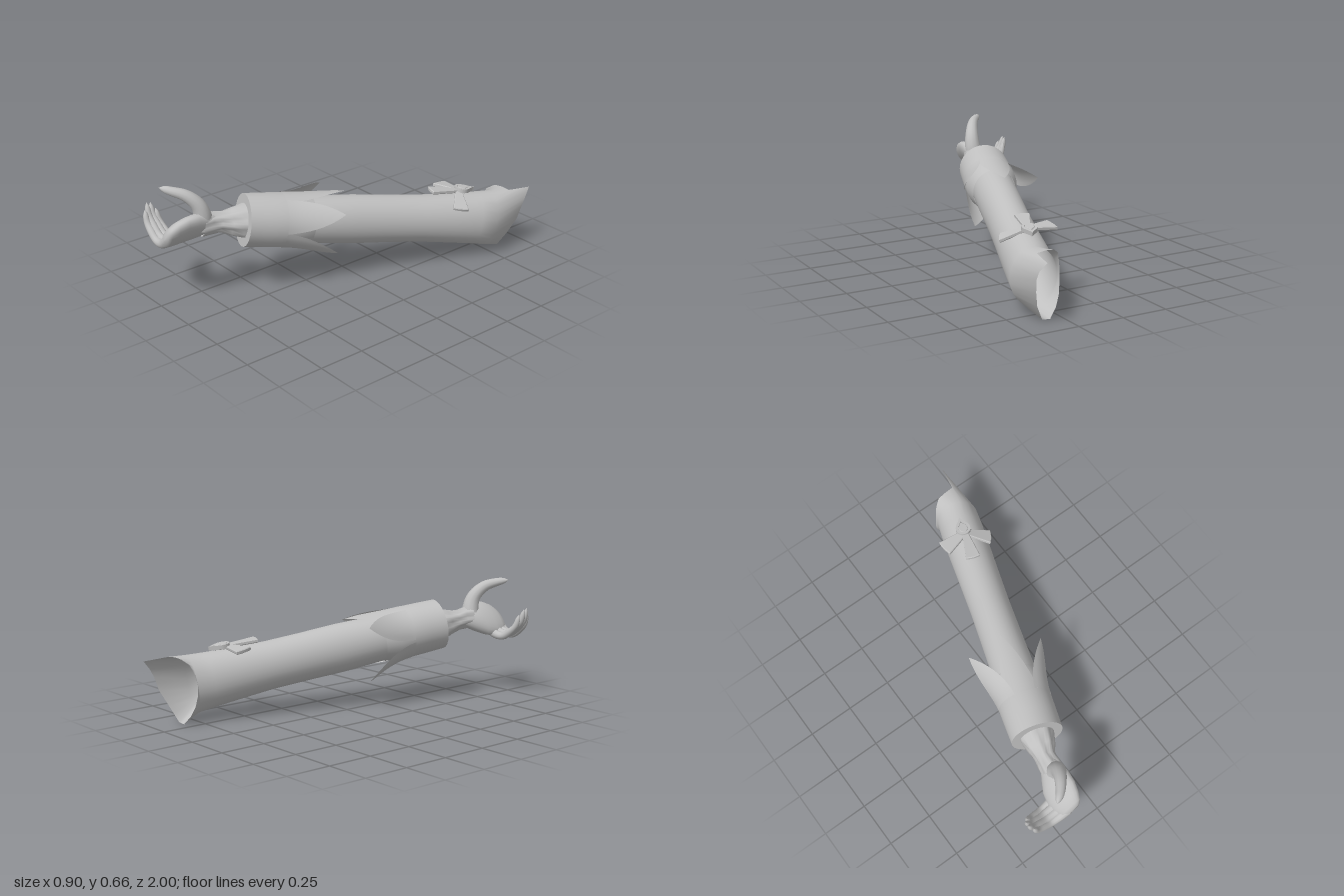
import * as THREE from 'three';

const V3 = (x, y, z) => new THREE.Vector3(x, y, z);
const SIDES = 32;

// Forearm frame: F points to the hand, U to the model's left, V up
const origin = V3(-0.1, 0.415, 0.575);
const F = V3(-0.318, 0.155, 0.935).normalize();
const U = V3(F.z, 0, -F.x).normalize();
const V = F.clone().cross(U);

// Point at distance w back from the cuff front, at angle a round the arm
function armPoint(w, a, rx, ry = rx) {
  return origin.clone().addScaledVector(F, -w)
    .addScaledVector(U, Math.cos(a) * rx).addScaledVector(V, Math.sin(a) * ry);
}

function armRing(w, rx, ry = rx) {
  return Array.from({ length: SIDES + 1 }, (_, j) => armPoint(w, (j / SIDES) * Math.PI * 2, rx, ry));
}

// Skin a surface over rows of points; closed rows share a smooth seam
function loft(rows, closed = true) {
  const pos = [], index = [];
  const n = closed ? rows[0].length - 1 : rows[0].length;
  rows.forEach(r => r.slice(0, n).forEach(p => pos.push(p.x, p.y, p.z)));
  const across = closed ? n : n - 1;
  for (let i = 0; i < rows.length - 1; i++) {
    for (let j = 0; j < across; j++) {
      const k = (j + 1) % n;
      const a = i * n + j, b = i * n + k, c = a + n, d = b + n;
      index.push(a, c, b, b, c, d);
    }
  }
  const g = new THREE.BufferGeometry();
  g.setAttribute('position', new THREE.Float32BufferAttribute(pos, 3));
  g.setIndex(index);
  g.computeVertexNormals();
  return g;
}

// Round limb along a curve with interpolated radii
function limb(points, radii, sides = 12, steps = 20) {
  const curve = new THREE.CatmullRomCurve3(points.map(p => V3(...p)));
  const fr = curve.computeFrenetFrames(steps);
  const rows = [];
  for (let i = 0; i <= steps; i++) {
    const t = i / steps, c = curve.getPointAt(t);
    const f = t * (radii.length - 1), k = Math.min(Math.floor(f), radii.length - 2);
    let r = THREE.MathUtils.lerp(radii[k], radii[k + 1], f - k);
    if (i === steps) r = 0.0005;
    else if (i === steps - 1) r *= 0.75;
    rows.push(Array.from({ length: sides + 1 }, (_, j) => {
      const a = (j / sides) * Math.PI * 2;
      return c.clone().addScaledVector(fr.normals[i], Math.cos(a) * r).addScaledVector(fr.binormals[i], Math.sin(a) * r);
    }));
  }
  return loft(rows.reverse());
}

export function createModel() {
  const group = new THREE.Group();
  const grey = new THREE.MeshStandardMaterial({ color: 0xc0c0c0, side: THREE.DoubleSide });
  grey.name = 'grey';
  const add = (name, geometry, parent = group) => {
    const m = new THREE.Mesh(geometry, grey);
    m.name = name;
    parent.add(m);
    return m;
  };

  // Sleeve, flaring to an uneven open rim with one pointed corner
  const rim = [
    [0.44, 0.24, -0.93], [0.44, 0.285, -0.955], [0.425, 0.335, -1], [0.4, 0.345, -0.865],
    [0.345, 0.35, -0.86], [0.3, 0.345, -0.855], [0.265, 0.32, -0.83], [0.245, 0.27, -0.81],
    [0.235, 0.215, -0.8], [0.235, 0.16, -0.8], [0.245, 0.1, -0.81], [0.27, 0.045, -0.825],
    [0.31, 0, -0.84], [0.355, 0.003, -0.84], [0.4, 0.085, -0.87], [0.43, 0.17, -0.91],
  ].map(p => V3(...p));
  const rimRow = Array.from({ length: SIDES + 1 }, (_, j) => {
    const k = Math.floor(j / 2);
    return rim[k % 16].clone().lerp(rim[(k + 1) % 16], (j % 2) / 2);
  });
  const sleeve = [
    [0.2, 0.115, 0.12], [0.4, 0.115, 0.127], [0.6, 0.112, 0.133], [0.8, 0.11, 0.13],
    [1.0, 0.113, 0.13], [1.2, 0.117, 0.14], [1.33, 0.118, 0.148], [1.42, 0.115, 0.156],
  ].map(s => armRing(...s));
  add('sleeve', loft([...sleeve, rimRow]));

  // Cuff with a flat front band
  add('cuff', loft([armRing(0, 0.138), armRing(0.1, 0.141), armRing(0.2, 0.143), armRing(0.28, 0.14), armRing(0.36, 0.118, 0.128)]));
  add('cuffFront', loft([armRing(0, 0.09), armRing(0, 0.138)]));

  // Pointed leaves flaring off the back of the cuff: angle, tip distance, tip radius
  [[29, 0.486, 0.21], [97, 0.549, 0.155], [150, 0.485, 0.245], [232, 0.499, 0.235], [313, 0.5, 0.19]].forEach(([deg, tipW, tipR]) => {
    const rows = [];
    for (let i = 0; i <= 10; i++) {
      const t = i / 10, row = [];
      for (let j = 0; j <= 8; j++) {
        const s = j / 4 - 1;
        const a = THREE.MathUtils.degToRad(deg + s * 38 * (1 - Math.pow(t, 1.5)));
        const w = THREE.MathUtils.lerp(0.2, tipW, t);
        row.push(armPoint(w, a, THREE.MathUtils.lerp(0.144, tipR, Math.pow(t, 1.7))));
      }
      rows.push(row);
    }
    add('cuffLeaf', loft(rows, false));
  });

  // Gathered wrist fabric with twisted folds: centre, radius, fold depth
  const wristRows = [
    [-0.08, 0.405, 0.53, 0.095, 0.003], [-0.105, 0.413, 0.585, 0.086, 0.006], [-0.12, 0.42, 0.64, 0.066, 0.008],
    [-0.137, 0.428, 0.69, 0.05, 0.007], [-0.145, 0.435, 0.74, 0.055, 0.007], [-0.152, 0.435, 0.79, 0.06, 0.004],
  ].map(([x, y, z, r, d], i) => Array.from({ length: SIDES + 1 }, (_, j) => {
    const a = (j / SIDES) * Math.PI * 2, q = r + d * Math.sin(7 * a + i * 0.9);
    return V3(x, y, z).addScaledVector(U, Math.cos(a) * q).addScaledVector(V, Math.sin(a) * q);
  }));
  add('wrist', loft(wristRows.reverse()));

  // Palm: slanted oval sections from wrist to knuckles: centre, half width, half thickness
  const hand = new THREE.Group();
  hand.name = 'hand';
  group.add(hand);
  const slant = THREE.MathUtils.degToRad(50);
  const palmRows = [
    [-0.145, 0.435, 0.71, 0.04, 0.035], [-0.16, 0.432, 0.77, 0.075, 0.048], [-0.175, 0.428, 0.83, 0.105, 0.05],
    [-0.185, 0.42, 0.89, 0.112, 0.046], [-0.19, 0.41, 0.94, 0.1, 0.042], [-0.19, 0.4, 0.975, 0.08, 0.034],
    [-0.19, 0.395, 0.99, 0.055, 0.02], [-0.19, 0.395, 0.993, 0.001, 0.001],
  ].map(([x, y, z, h, t]) => Array.from({ length: 25 }, (_, j) => {
    const a = (j / 24) * Math.PI * 2, p = Math.cos(a) * h, q = Math.sin(a) * t;
    return V3(x + p * Math.cos(slant) - q * Math.sin(slant), y + p * Math.sin(slant) + q * Math.cos(slant), z);
  }));
  add('palm', loft(palmRows.reverse()), hand);

  // Thumb arching up and over
  add('thumb', limb([
    [-0.155, 0.42, 0.78], [-0.145, 0.49, 0.79], [-0.15, 0.55, 0.81], [-0.18, 0.605, 0.86],
    [-0.225, 0.63, 0.915], [-0.275, 0.643, 0.955],
  ], [0.05, 0.046, 0.038, 0.031, 0.024, 0.015]), hand);

  // Four curled fingers side by side: depth at root and tip, reach, tip lift
  [[0.875, 0.9, 0.92, -0.035], [0.908, 0.918, 1, -0.005], [0.94, 0.94, 1, 0], [0.968, 0.962, 0.93, -0.03]].forEach(([z0, z1, k, lift]) => {
    const bend = [[-0.2, 0.385], [-0.255, 0.352], [-0.315, 0.352], [-0.37, 0.39], [-0.41, 0.435], [-0.43, 0.505]];
    add('finger', limb(bend.map(([x, y], i) => [
      -0.2 + (x + 0.2) * k, y + lift * i / 5, THREE.MathUtils.lerp(z0, z1, i / 5),
    ]), [0.028, 0.025, 0.021, 0.02, 0.017, 0.011]), hand);
  });

  // Ribbon bow on top of the sleeve
  const bow = new THREE.Group();
  bow.name = 'bow';
  group.add(bow);
  const knot = V3(0.285, 0.377, -0.585);
  [[0.145, 0.372, -0.575, 0.085], [0.39, 0.325, -0.505, 0.075], [0.23, 0.4, -0.435, 0.07]].forEach(([x, y, z, wide]) => {
    const d = V3(x, y, z).sub(knot), len = d.length();
    d.normalize();
    const side = V.clone().cross(d).normalize(), up = d.clone().cross(side);
    const s = new THREE.Shape();
    s.moveTo(0, -0.012);
    s.lineTo(len, -wide / 2);
    s.quadraticCurveTo(len * 1.06, 0, len, wide / 2);
    s.lineTo(0, 0.012);
    const g = new THREE.ExtrudeGeometry(s, { depth: 0.012, bevelEnabled: true, bevelSize: 0.004, bevelThickness: 0.004, bevelSegments: 1 });
    g.applyMatrix4(new THREE.Matrix4().makeBasis(d, side, up).setPosition(knot));
    add('ribbon', g, bow);
  });

  // Drop-shaped brooch in a raised frame, its point toward the sleeve rim
  const drop = (shape, k) => {
    shape.moveTo(0, 0.075 * k);
    shape.bezierCurveTo(0.01 * k, 0.045 * k, 0.04 * k, 0.03 * k, 0.04 * k, 0);
    shape.bezierCurveTo(0.04 * k, -0.053 * k, -0.04 * k, -0.053 * k, -0.04 * k, 0);
    shape.bezierCurveTo(-0.04 * k, 0.03 * k, -0.01 * k, 0.045 * k, 0, 0.075 * k);
    return shape;
  };
  const place = new THREE.Matrix4().makeBasis(U.clone().negate(), F.clone().negate(), V).setPosition(0.288, 0.377, -0.605);
  const frame = drop(new THREE.Shape(), 1);
  frame.holes.push(drop(new THREE.Path(), 0.65));
  add('broochFrame', new THREE.ExtrudeGeometry(frame, { depth: 0.022, bevelEnabled: false }).applyMatrix4(place), bow);
  add('broochStone', new THREE.ExtrudeGeometry(drop(new THREE.Shape(), 0.55), {
    depth: 0.018, bevelEnabled: true, bevelSize: 0.003, bevelThickness: 0.006, bevelSegments: 2,
  }).applyMatrix4(place), bow);

  return group;
}
